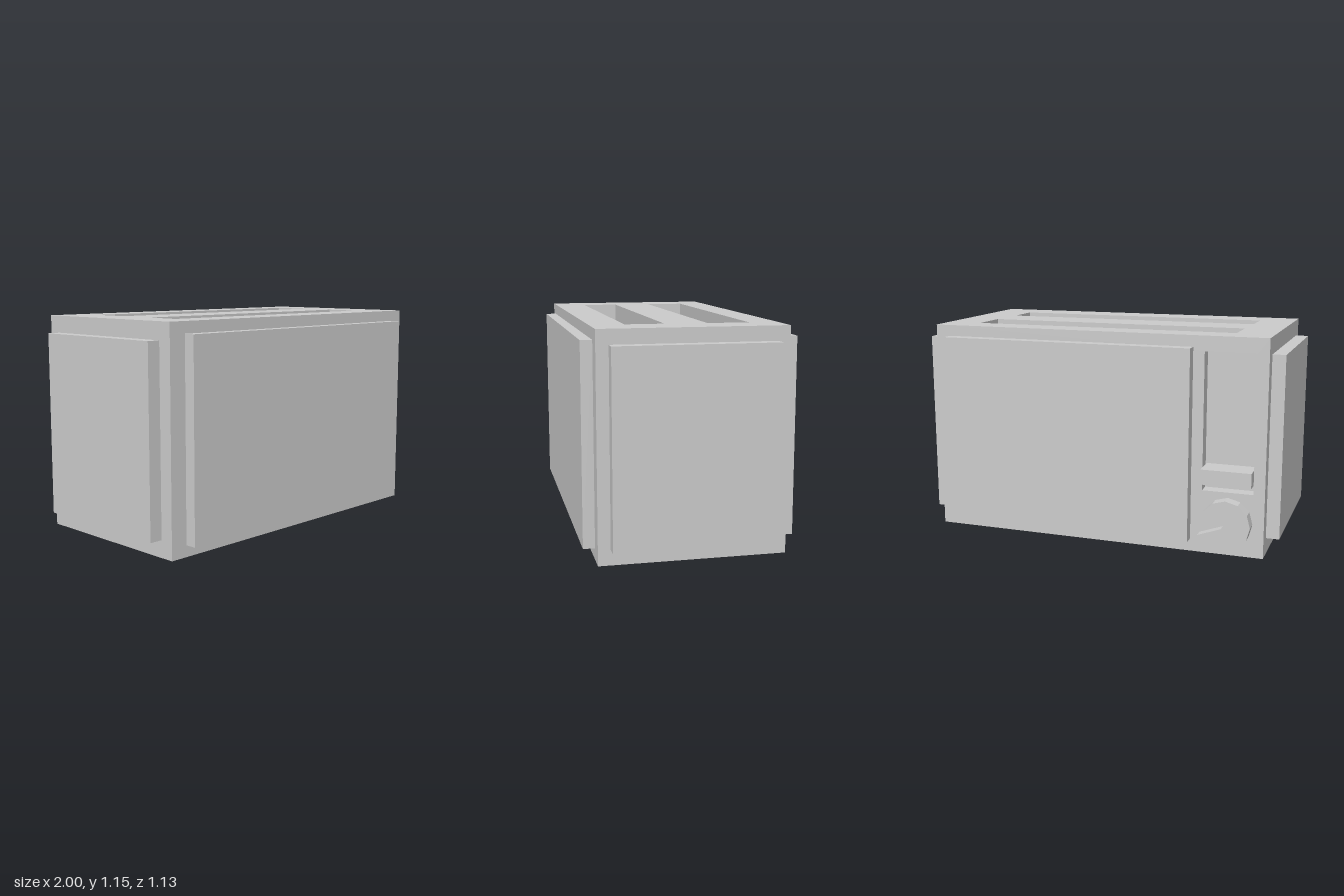
import * as THREE from 'three';

const material = new THREE.MeshStandardMaterial({ color: 0xcccccc, flatShading: true });

function add(group, name, geometry) {
  const mesh = new THREE.Mesh(geometry, material);
  mesh.name = name;
  group.add(mesh);
  return mesh;
}

// Box given by its limits on each axis
function box(group, name, [x0, x1], [y0, y1], [z0, z1]) {
  const mesh = add(group, name, new THREE.BoxGeometry(x1 - x0, y1 - y0, z1 - z0));
  mesh.position.set((x0 + x1) / 2, (y0 + y1) / 2, (z0 + z1) / 2);
  return mesh;
}

function outline(Type, x0, x1, y0, y1) {
  return new Type([[x0, y0], [x1, y0], [x1, y1], [x0, y1]].map(([x, y]) => new THREE.Vector2(x, y)));
}

// Rectangular block with rectangular through holes
function pierced(rect, holes, depth) {
  const shape = outline(THREE.Shape, ...rect);
  shape.holes = holes.map((h) => outline(THREE.Path, ...h));
  return new THREE.ExtrudeGeometry(shape, { depth, bevelEnabled: false });
}

export function createModel() {
  const toaster = new THREE.Group();
  toaster.name = 'toaster';

  const W = 0.93, H = 1.15, back = -0.45, front = 0.505;
  const slotBack = -0.38, slotFloor = 0.2;

  // Body: base, main block with the two bread slots, back wall with the lever recess
  const body = new THREE.Group();
  body.name = 'body';
  toaster.add(body);
  box(body, 'base', [-W, W], [0, slotFloor], [slotBack, front]);

  // Shape y becomes -z when the block is stood upright
  const block = add(body, 'slottedBlock', pierced(
    [-W, W, -front, -slotBack],
    [[-0.73, 0.735, 0.085, 0.3], [-0.735, 0.72, -0.33, -0.13]],
    H - slotFloor));
  block.rotation.x = -Math.PI / 2;
  block.position.y = slotFloor;

  const wall = add(body, 'backWall', pierced(
    [-W, W, 0, H], [[-0.87, -0.6, 0.34, 1.07]], slotBack - back));
  wall.position.z = back;

  // Raised panels on the four sides
  box(toaster, 'frontPanel', [-0.835, 0.835], [0.06, 1.09], [front, 0.565]);
  box(toaster, 'backPanel', [-0.54, 0.85], [0.068, 1.09], [-0.515, back]);
  box(toaster, 'leftPanel', [W, 1], [0.08, 1.075], [-0.39, 0.442]);
  box(toaster, 'rightPanel', [-1, -W], [0.09, 1.06], [-0.377, 0.43]);

  // Lever standing out of the recess
  box(toaster, 'lever', [-0.87, -0.605], [0.39, 0.47], [-0.517, slotBack]);

  // Browning dial with a wedge pointer
  const dial = add(toaster, 'dial', new THREE.CylinderGeometry(0.132, 0.132, 0.067, 12));
  dial.rotation.x = Math.PI / 2;
  dial.position.set(-0.738, 0.18, -0.4835);

  const wedge = new THREE.Shape([[-0.73, 0.18], [-0.655, 0.07], [-0.607, 0.135]]
    .map(([x, y]) => new THREE.Vector2(x, y)));
  const pointer = add(toaster, 'dialPointer',
    new THREE.ExtrudeGeometry(wedge, { depth: 0.055, bevelEnabled: false }));
  pointer.position.z = -0.57;

  return toaster;
}
